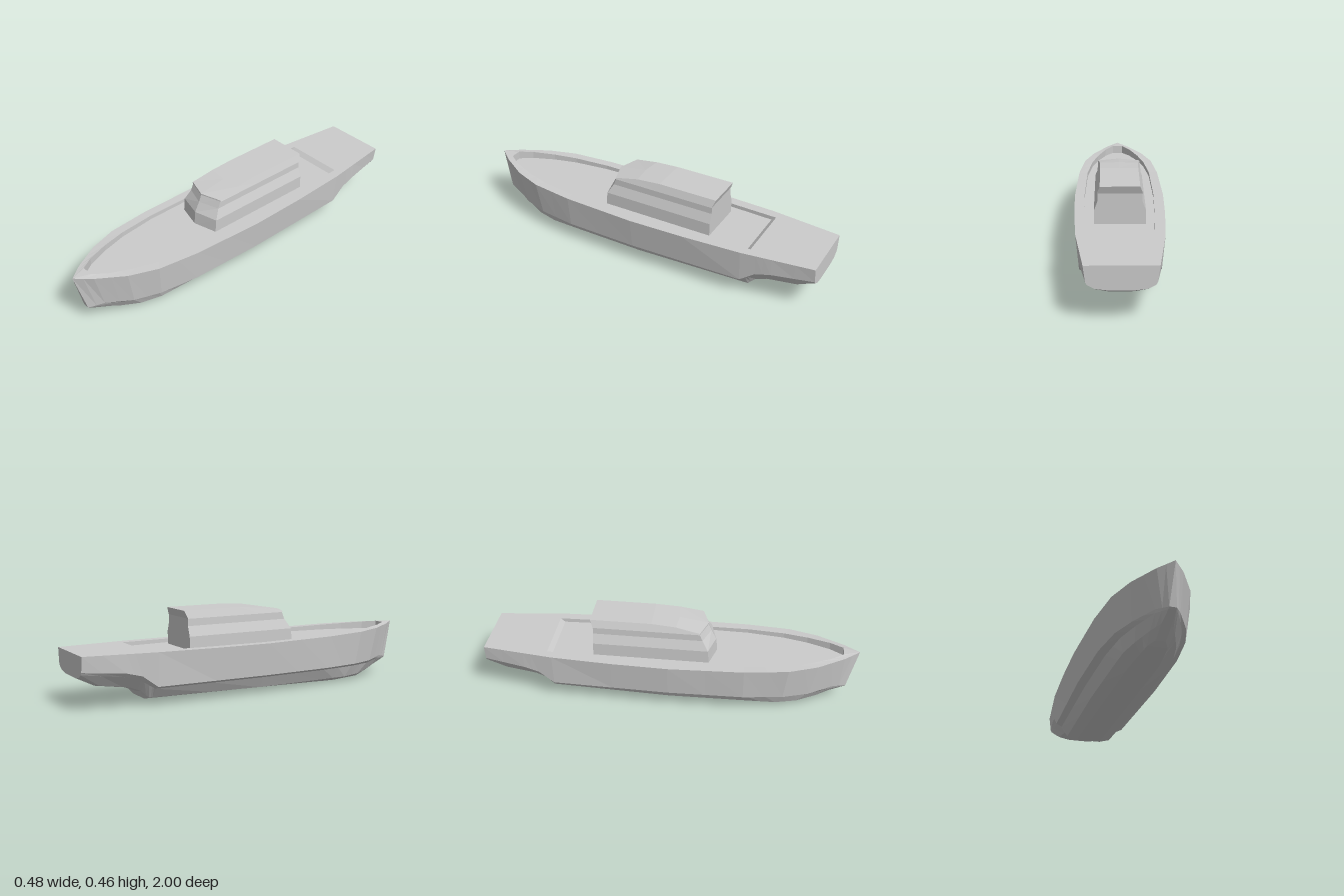
import * as THREE from 'three';

const material = new THREE.MeshStandardMaterial({ color: 0xcccccc, flatShading: true });

// Skin a grid of points (rows of [x, y, z]); closed joins each row's end to its start
function skin(rows, closed = false) {
  const pos = [];
  const n = rows[0].length;
  for (let i = 0; i < rows.length - 1; i++) {
    for (let j = 0; j < (closed ? n : n - 1); j++) {
      const k = (j + 1) % n;
      const a = rows[i][j], b = rows[i][k], c = rows[i + 1][k], d = rows[i + 1][j];
      pos.push(...a, ...b, ...c, ...a, ...c, ...d);
    }
  }
  const g = new THREE.BufferGeometry();
  g.setAttribute('position', new THREE.Float32BufferAttribute(pos, 3));
  g.computeVertexNormals();
  return g;
}

function part(name, geometry) {
  const mesh = new THREE.Mesh(geometry, material);
  mesh.name = name;
  return mesh;
}

// Half-width and height of a hull line at station z, from [z, x, y] keys
function sample(keys, z) {
  let i = 0;
  while (i < keys.length - 2 && keys[i + 1][0] < z) i++;
  const [a, b] = [keys[i], keys[i + 1]];
  const t = (z - a[0]) / (b[0] - a[0]);
  return [a[1] + (b[1] - a[1]) * t, a[2] + (b[2] - a[2]) * t];
}

// Lines running bow to stern; rake pulls each line's forward end aft
const lines = {
  sheer: { rake: 1, keys: [[-1, 0.17, 0.284], [-0.6, 0.218, 0.281], [-0.3, 0.232, 0.279], [0, 0.239, 0.278],
    [0.4, 0.227, 0.283], [0.63, 0.2, 0.288], [0.78, 0.148, 0.293], [0.92, 0.065, 0.3], [1, 0, 0.305]] },
  chine: { rake: 0.908, keys: [[-1, 0.16, 0.205], [-0.78, 0.19, 0.186], [-0.7, 0.196, 0.165], [-0.62, 0.2, 0.105],
    [0, 0.215, 0.105], [0.4, 0.206, 0.105], [0.63, 0.178, 0.105], [0.78, 0.132, 0.105], [0.92, 0.06, 0.113], [1, 0.018, 0.095]] },
  ledge: { rake: 0.89, keys: [[-1, 0.153, 0.193], [-0.78, 0.172, 0.165], [-0.7, 0.17, 0.14], [-0.62, 0.167, 0.09],
    [0, 0.175, 0.088], [0.4, 0.168, 0.088], [0.63, 0.148, 0.088], [0.78, 0.113, 0.088], [0.92, 0.058, 0.098], [1, 0.018, 0.088]] },
  bilge: { rake: 0.75, keys: [[-1, 0.12, 0.174], [-0.9, 0.122, 0.128], [-0.74, 0.122, 0.102], [-0.68, 0.122, 0.078],
    [-0.64, 0.128, 0.04], [0, 0.14, 0.028], [0.63, 0.126, 0.026], [0.78, 0.102, 0.03], [0.92, 0.06, 0.045], [1, 0.025, 0.055]] },
  floor: { rake: 0.6, keys: [[-1, 0.06, 0.166], [-0.9, 0.06, 0.116], [-0.74, 0.06, 0.091], [-0.68, 0.065, 0.066],
    [-0.64, 0.07, 0.024], [0, 0.07, 0.012], [0.6, 0.07, 0], [0.92, 0.05, 0.006], [1, 0.025, 0.014]] },
  well: { rake: 0.858, keys: [[-1, 0.13, 0.284], [-0.655, 0.163, 0.2814], [-0.63, 0.164, 0.26], [-0.3, 0.178, 0.26],
    [0, 0.187, 0.26], [0.4, 0.179, 0.26], [0.63, 0.155, 0.26], [0.78, 0.122, 0.26], [0.92, 0.075, 0.26], [1, 0.03, 0.26]] },
};
const stations = [-1, -0.9, -0.78, -0.74, -0.7, -0.68, -0.655, -0.64, -0.63, -0.62, -0.3, 0, 0.2, 0.4,
  0.52, 0.63, 0.71, 0.78, 0.85, 0.92, 0.96, 1];

// Right-hand side (+x) points of one section: sheer down to floor, then well rim and well floor
function section(z) {
  const at = ({ rake, keys }) => [...sample(keys, z), z < 0.4 ? z : 0.4 + (z - 0.4) * rake];
  const { sheer, chine, ledge, bilge, floor, well } = lines;
  const outer = [sheer, chine, ledge, bilge, floor].map(at);
  const bottom = at(well);
  return { outer, inner: [[bottom[0], outer[0][1], bottom[2]], bottom] };
}

const flip = ([x, y, z]) => [-x, y, z];

function buildHull() {
  const hull = new THREE.Group();
  hull.name = 'hull';
  const sections = stations.map(section);

  // Shell, bulwark rim and sunken deck in one closed loft
  hull.add(part('hullAndDeck', skin(sections.map(({ outer, inner }) => [
    ...outer.map(flip), ...[...outer].reverse(), ...inner, ...[...inner].reverse().map(flip),
  ]), true)));

  // Flat transom
  const aft = [...sections[0].outer].reverse();
  hull.add(part('transom', skin(aft.map((p) => [p, flip(p)]))));

  // Narrow stem face, bow rim and forward wall of the deck well
  const { outer, inner } = sections[sections.length - 1];
  hull.add(part('stem', skin([...outer].reverse().concat(inner).map((p) => [flip(p), p]))));
  return hull;
}

function buildCabin() {
  const cabin = new THREE.Group();
  cabin.name = 'cabin';

  // Walls: [height, half-width, front corner z, front centre z]
  const back = -0.41;
  const levels = [[0.25, 0.13, 0.21, 0.245], [0.33, 0.13, 0.203, 0.237], [0.382, 0.111, 0.172, 0.21], [0.425, 0.11, 0.155, 0.192]];
  cabin.add(part('cabinWalls', skin(levels.map(([y, w, corner, centre]) => [
    [-w, y, corner], [0, y, centre], [w, y, corner], [w, y, back], [-w, y, back],
  ]), true)));

  // Roof: [edge z, centre z, top height, top half-width], thinning towards a pointed front
  const roof = [[-0.425, -0.425, 0.46, 0.1], [-0.1, -0.1, 0.46, 0.1], [0.03, 0.04, 0.451, 0.103], [0.158, 0.195, 0.427, 0.112]];
  const rings = roof.map(([z, zc, y, w], i) => {
    const lower = i === 0 ? 0.015 : 0;
    const right = [[0.115, 0.42, z + lower], [w, y, z]];
    return [...right, [0, y, zc], flip(right[1]), flip(right[0]), [0, 0.42, zc + lower]];
  });
  cabin.add(part('roof', skin(rings, true)));

  // Close the roof's two ends
  const ends = (r) => [[r[0], r[5], r[4]], [r[1], r[2], r[3]]];
  cabin.add(part('roofBack', skin(ends(rings[0]))));
  cabin.add(part('roofFront', skin(ends(rings[rings.length - 1]).reverse())));
  return cabin;
}

export function createModel() {
  const boat = new THREE.Group();
  boat.name = 'boat';
  boat.add(buildHull(), buildCabin());
  return boat;
}
